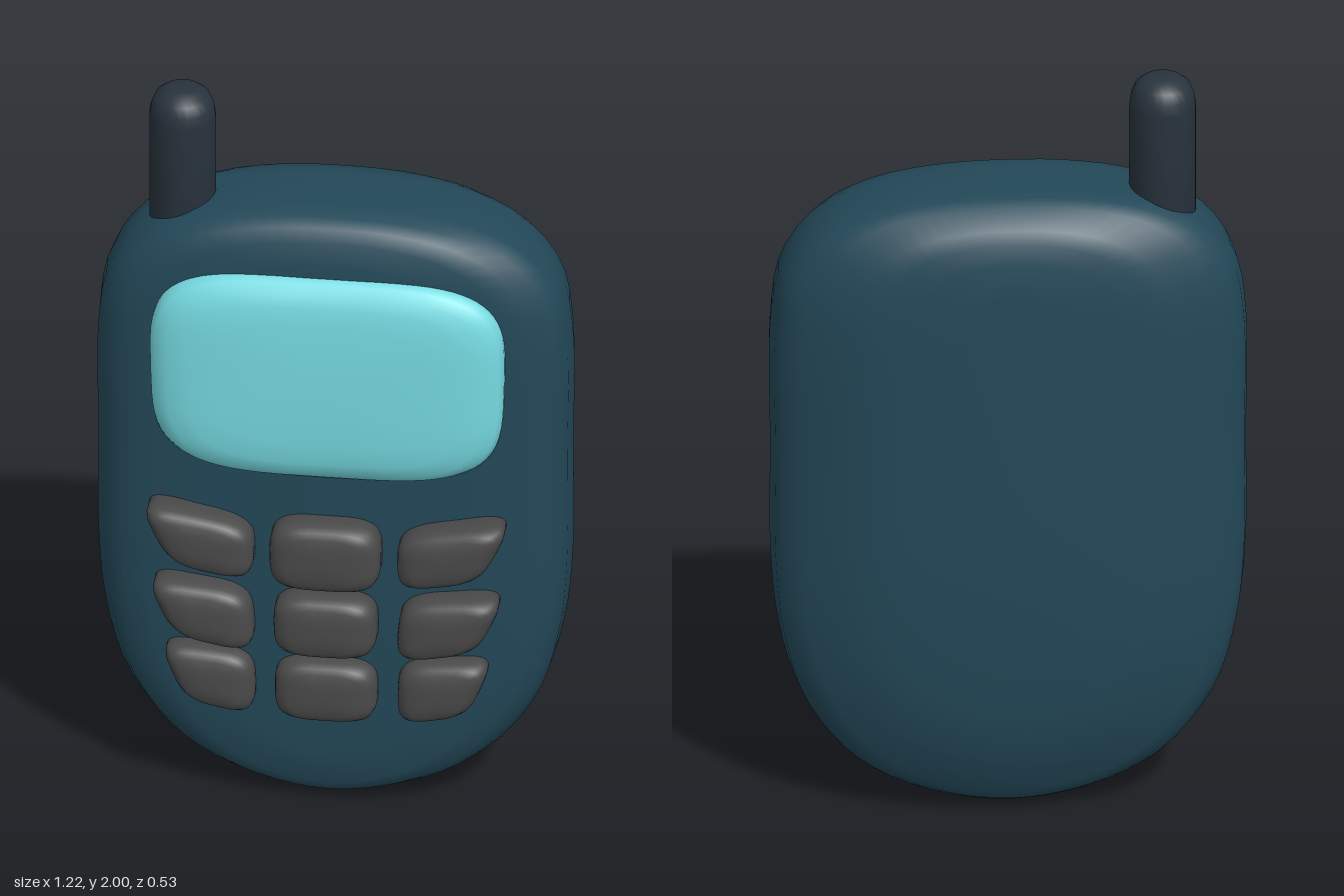
import * as THREE from 'three';

const mat = (color) => new THREE.MeshStandardMaterial({ color });

// Closed pillow shape: one outline (counter-clockwise) repeated back to front.
// Each ring is [z, x scale, scale above centre, scale below centre].
function cushion(outline, cx, cy, rings, zBack, zFront) {
  const n = outline.length, pos = [], index = [];
  for (const [z, sx, st = sx, sb = st] of rings) {
    for (const p of outline) {
      const dy = p.y - cy;
      pos.push(cx + (p.x - cx) * sx, cy + dy * (dy > 0 ? st : sb), z);
    }
  }
  for (let r = 0; r < rings.length - 1; r++) {
    for (let i = 0; i < n; i++) {
      const j = (i + 1) % n, a = r * n + i, b = r * n + j;
      index.push(a, b, b + n, a, b + n, a + n);
    }
  }
  // end caps
  const back = pos.length / 3, front = back + 1, last = (rings.length - 1) * n;
  pos.push(cx, cy, zBack, cx, cy, zFront);
  for (let i = 0; i < n; i++) {
    const j = (i + 1) % n;
    index.push(back, j, i, front, last + i, last + j);
  }
  const g = new THREE.BufferGeometry();
  g.setAttribute('position', new THREE.Float32BufferAttribute(pos, 3));
  g.setIndex(index);
  g.computeVertexNormals();
  return g;
}

// Superellipse stretched over four corners: top left, top right, bottom right, bottom left
function roundedQuad([tl, tr, br, bl], power, count = 48) {
  const pts = [];
  const bend = (v) => Math.sign(v) * Math.pow(Math.abs(v), 2 / power);
  for (let i = 0; i < count; i++) {
    const t = (i / count) * Math.PI * 2;
    const u = (bend(Math.cos(t)) + 1) / 2, v = (bend(Math.sin(t)) + 1) / 2;
    const mix = (k) => (tl[k] * (1 - u) + tr[k] * u) * v + (bl[k] * (1 - u) + br[k] * u) * (1 - v);
    pts.push(new THREE.Vector2(mix(0), mix(1)));
  }
  return pts;
}

export function createModel() {
  const phone = new THREE.Group();
  phone.name = 'mobilePhone';
  const add = (name, geometry, material, parent = phone) => {
    const m = new THREE.Mesh(geometry, material);
    m.name = name;
    parent.add(m);
    return m;
  };

  // Body: right half of the outline from bottom to top, then mirrored
  const half = [[0.15, 0.018], [0.3, 0.07], [0.42, 0.155], [0.53, 0.31], [0.585, 0.5], [0.605, 0.7],
    [0.606, 1.0], [0.605, 1.35], [0.578, 1.5], [0.5, 1.61], [0.37, 1.68], [0.2, 1.715]];
  const loop = [[0, 0], ...half, [0, 1.725], ...half.map(([x, y]) => [-x, y]).reverse()];
  const curve = new THREE.CatmullRomCurve3(loop.map(([x, y]) => new THREE.Vector3(x, y, 0)), true);
  const bodyRings = [
    [-0.26, 0.25, 0.72, 0.25], [-0.25, 0.46, 0.83, 0.5], [-0.237, 0.59, 0.89, 0.66], [-0.22, 0.7, 0.93, 0.79],
    [-0.17, 0.876, 0.98, 0.93], [-0.135, 0.945, 0.993, 0.97], [-0.1, 0.985, 1, 0.99], [-0.03, 1],
    [0.05, 0.99, 1, 1], [0.1, 0.95, 0.99, 0.98], [0.13, 0.876, 0.97, 0.965],
    [0.15, 0.77, 0.93, 0.93], [0.165, 0.55, 0.86, 0.83], [0.172, 0.3, 0.75, 0.5],
  ];
  add('body', cushion(curve.getSpacedPoints(96).slice(0, -1), 0, 0.9, bodyRings, -0.264, 0.177), mat(0x234858));

  // Screen: domed panel, slightly narrower at the bottom
  const screen = roundedQuad([[-0.46, 1.575], [0.46, 1.575], [0.445, 0.985], [-0.445, 0.985]], 3.8, 72);
  const screenRings = [[0.11, 1], [0.165, 1], [0.185, 0.97], [0.205, 0.9], [0.217, 0.78], [0.223, 0.6], [0.226, 0.3]];
  add('screen', cushion(screen, 0, 1.28, screenRings, 0.11, 0.227), mat(0x76dbe2));

  // Keypad: three rows with a middle key and a mirrored pair of slanted side keys
  const keypad = new THREE.Group();
  keypad.name = 'keypad';
  phone.add(keypad);
  const keyMat = mat(0x4a4a4a);
  const addKey = (name, corners, front) => {
    const c = [0, 1].map((k) => corners.reduce((s, p) => s + p[k], 0) / 4);
    const rings = [[0.1, 1], [front - 0.05, 1], [front - 0.03, 0.97], [front - 0.014, 0.87],
      [front - 0.005, 0.7], [front - 0.001, 0.4]];
    add(name, cushion(roundedQuad(corners, 3.6), c[0], c[1], rings, 0.1, front), keyMat, keypad);
  };
  const rows = [
    { front: 0.262, w: 0.142, y: [0.68, 0.875], side: [[-0.48, 0.905], [-0.185, 0.855], [-0.183, 0.69], [-0.4, 0.73]] },
    { front: 0.257, w: 0.132, y: [0.48, 0.657], side: [[-0.462, 0.68], [-0.193, 0.655], [-0.178, 0.474], [-0.39, 0.515]] },
    { front: 0.238, w: 0.131, y: [0.28, 0.455], side: [[-0.43, 0.48], [-0.185, 0.46], [-0.18, 0.278], [-0.365, 0.315]] },
  ];
  rows.forEach(({ front, w, y: [y0, y1], side }, i) => {
    addKey(`middleKey${i + 1}`, [[-w, y1], [w, y1], [w, y0], [-w, y0]], front);
    addKey(`rightKey${i + 1}`, side, front - 0.008);
    const [tl, tr, br, bl] = side.map(([x, y]) => [-x, y]);
    addKey(`leftKey${i + 1}`, [tr, tl, bl, br], front - 0.008);
  });

  // Antenna: round rod with a softened tip
  const profile = [[0, 1.45], [0.085, 1.45], [0.085, 1.92], [0.081, 1.95], [0.07, 1.977], [0.05, 1.993], [0.028, 1.999], [0, 2]];
  const antenna = add('antenna', new THREE.LatheGeometry(profile.map(([x, y]) => new THREE.Vector2(x, y)), 24), mat(0x28333d));
  antenna.position.set(-0.394, 0, -0.025);

  return phone;
}
